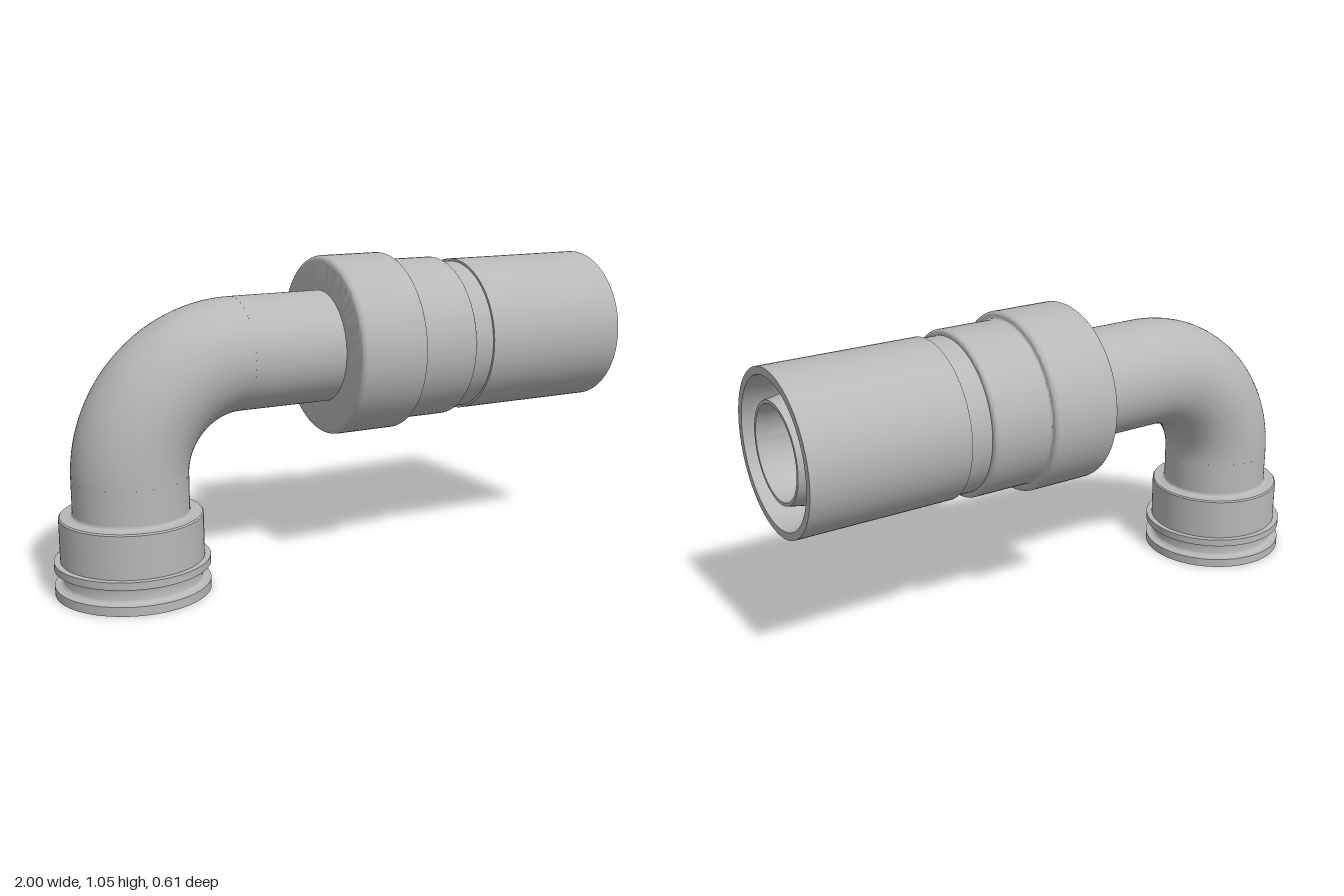
import * as THREE from 'three';
import { toCreasedNormals } from 'three/addons/utils/BufferGeometryUtils.js';

const AXIS_Y = 0.745;   // height of the horizontal run
const AXIS_X = -0.75;   // position of the vertical run
const BEND = 0.365;     // centreline radius of the elbow
const PIPE = 0.188, BORE = 0.148;

export function createModel() {
  const model = new THREE.Group();
  model.name = 'pipeElbow';
  const metal = new THREE.MeshStandardMaterial({ color: 0xb8b8b8, side: THREE.DoubleSide });
  metal.name = 'greyMetal';

  // Turned part: profile pairs are [radius, distance along axis]
  function turned(name, profile, horizontal = false) {
    const points = profile.map(([r, d]) => new THREE.Vector2(r, d));
    const geometry = toCreasedNormals(new THREE.LatheGeometry(points, 96), 0.6);
    const mesh = new THREE.Mesh(geometry, metal);
    mesh.name = name;
    if (horizontal) {
      mesh.rotation.z = -Math.PI / 2;
      mesh.position.y = AXIS_Y;
    } else {
      mesh.position.x = AXIS_X;
    }
    model.add(mesh);
  }

  // Quarter arc of profile points around (r, d), from angle a to b in degrees
  function arc(r, d, radius, a, b, steps = 6) {
    return Array.from({ length: steps + 1 }, (_, i) => {
      const t = THREE.MathUtils.degToRad(a + (b - a) * i / steps);
      return [r + radius * Math.cos(t), d + radius * Math.sin(t)];
    });
  }

  // Elbow: outer skin and bore
  const bendX = AXIS_X + BEND, bendY = AXIS_Y - BEND;
  for (const [name, radius] of [['elbowBend', PIPE], ['elbowBore', BORE]]) {
    const mesh = new THREE.Mesh(new THREE.TorusGeometry(BEND, radius, 64, 40, Math.PI / 2), metal);
    mesh.name = name;
    mesh.rotation.z = Math.PI / 2;
    mesh.position.set(bendX, bendY, 0);
    model.add(mesh);
  }

  // Straight runs either side of the bend
  turned('verticalPipe', [[PIPE, 0.25], [PIPE, bendY]]);
  turned('horizontalPipe', [[PIPE, bendX], [PIPE, -0.05]], true);
  turned('horizontalBore', [[BORE, 0.97], [BORE, bendX]], true);

  // Grooved lower fitting, with its bore running up to the bend
  turned('lowerFitting', [
    [0.176, 0], [0.252, 0], [0.252, 0.03], [0.238, 0.03],
    ...arc(0.238, 0.046, 0.016, 270, 180),
    ...arc(0.238, 0.069, 0.016, 180, 90),
    [0.252, 0.085], [0.252, 0.11], [0.232, 0.11], [0.232, 0.252],
    [0.228, 0.257], [0.198, 0.257],
    ...arc(0.198, 0.267, 0.01, 270, 180),
    [BORE, 0.267], [BORE, bendY], [BORE, 0.267], [0.168, 0.24], [0.168, 0.012], [0.176, 0],
  ]);

  // Stepped coupling with rounded shoulders
  turned('coupling', [
    [PIPE, -0.063], [0.283, -0.063],
    ...arc(0.283, -0.043, 0.02, 270, 360),
    ...arc(0.288, 0.167, 0.015, 0, 90),
    [0.284, 0.182], ...arc(0.284, 0.189, 0.007, 270, 180),
    [0.277, 0.375], ...arc(0.265, 0.378, 0.012, 0, 90),
    [0.258, 0.39], [0.258, 0.465],
  ], true);

  // Socket sleeve, open annular recess and tapered inner spigot
  turned('socketSleeve', [
    [0.258, 0.465], [0.266, 0.465], [0.266, 1], [0.241, 1], [0.215, 0.6],
    [PIPE, 0.6],
  ], true);
  turned('innerSpigot', [
    [PIPE, 0.6], [PIPE, 0.85], [0.163, 0.99], [0.152, 0.99], [BORE, 0.97],
  ], true);

  return model;
}
